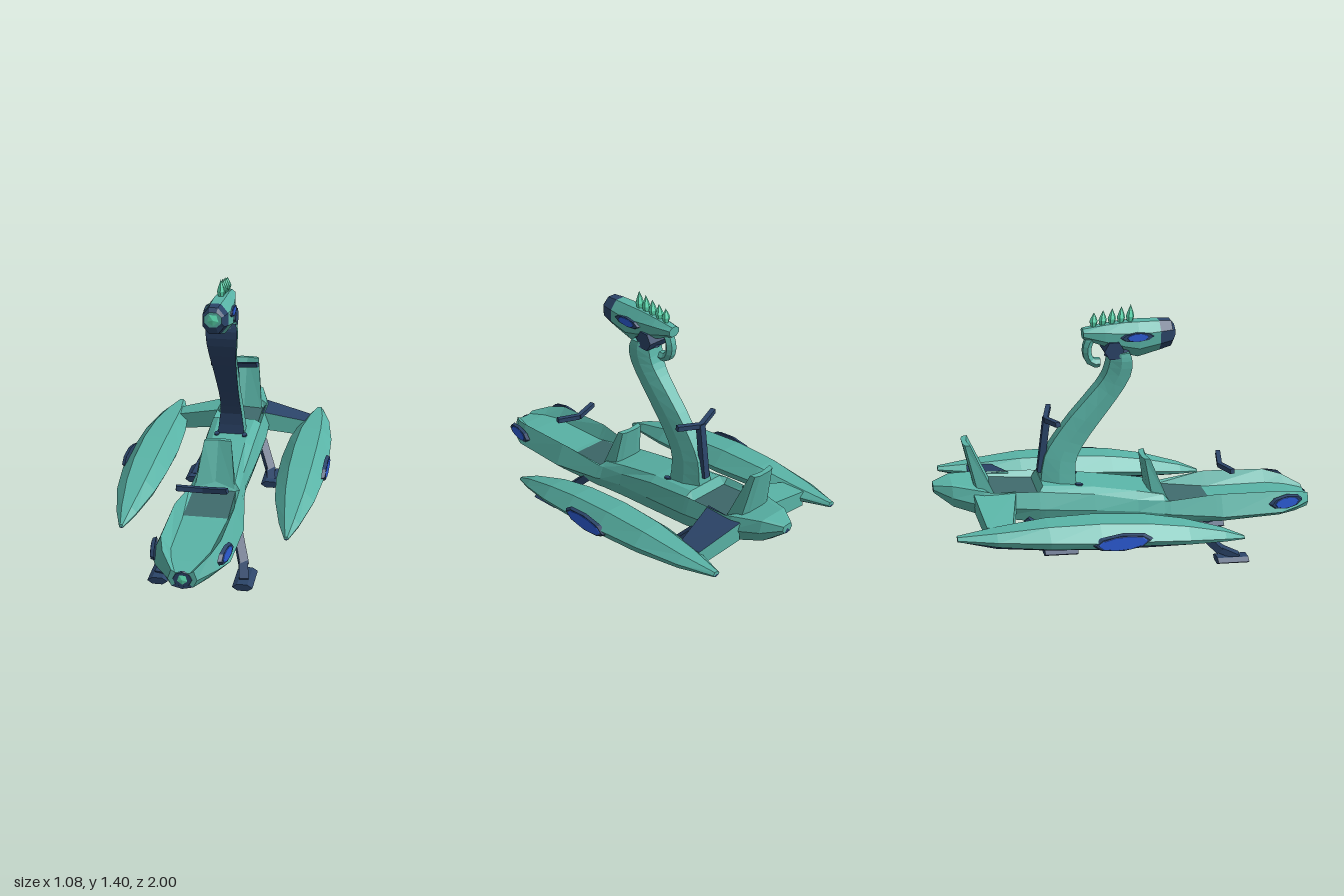
import * as THREE from 'three';

const paint = (name, color) => {
  const m = new THREE.MeshStandardMaterial({ color });
  m.name = name;
  return m;
};

export function createModel() {
  const model = new THREE.Group();
  const teal = paint('teal', 0x59b3a6), navy = paint('navy', 0x2b4468), blue = paint('blue', 0x2c5cd6);
  const mint = paint('mint', 0x5fe4b8), seatGrey = paint('seat grey', 0x3f6a6c);
  const palette = [teal, navy, seatGrey];
  const TEAL = 0, NAVY = 1, SEAT = 2;

  const add = (name, geo, mat, parent = model) => {
    const g = geo.index ? geo.toNonIndexed() : geo;
    if (mat !== palette) g.computeVertexNormals();
    const mesh = new THREE.Mesh(g, mat);
    mesh.name = name;
    parent.add(mesh);
    return mesh;
  };

  // Skins closed rings of points; pick(segment, side) chooses the colour of each face.
  // Each ring runs counter-clockwise seen from the first ring's outer end.
  function loft(rings, pick) {
    const faces = [[], [], []], last = rings.length - 1, n = rings[0].length;
    const tri = (c, ...pts) => pts.forEach(p => faces[c].push(...p));
    const mid = r => [0, 1, 2].map(k => r.reduce((s, p) => s + p[k], 0) / n);
    for (let j = 0; j < n; j++) {
      const k = (j + 1) % n;
      for (let i = 0; i < last; i++) {
        const a = rings[i][j], b = rings[i][k], c = rings[i + 1][k], d = rings[i + 1][j];
        tri(pick(i, j), a, d, c);
        tri(pick(i, j), a, c, b);
      }
      tri(pick(-1, j), mid(rings[0]), rings[0][j], rings[0][k]);
      tri(pick(last, j), mid(rings[last]), rings[last][k], rings[last][j]);
    }
    const geo = new THREE.BufferGeometry();
    geo.setAttribute('position', new THREE.Float32BufferAttribute(faces.flat(), 3));
    let start = 0;
    faces.forEach((f, m) => {
      if (f.length) geo.addGroup(start, f.length / 3, m);
      start += f.length / 3;
    });
    geo.computeVertexNormals();
    return geo;
  }

  // Square bar between two points
  function beam(name, p, q, w, h) {
    const a = new THREE.Vector3(...p), b = new THREE.Vector3(...q);
    const mesh = add(name, new THREE.BoxGeometry(w, h, a.distanceTo(b)), navy);
    mesh.position.copy(a).add(b).multiplyScalar(0.5);
    mesh.lookAt(b);
  }

  // Main hull: z, keel y, chine x/y, side x/y, rim x/y, deck x/y
  const stations = [
    [0.992, 0.188, 0.05, 0.2, 0.068, 0.235, 0.052, 0.28, 0.035, 0.268],
    [0.9, 0.19, 0.105, 0.208, 0.145, 0.25, 0.112, 0.325, 0.07, 0.285],
    [0.8, 0.193, 0.135, 0.211, 0.188, 0.25, 0.142, 0.353, 0.095, 0.293],
    [0.47, 0.205, 0.15, 0.222, 0.195, 0.265, 0.148, 0.378, 0.11, 0.303],
    [0.44, 0.207, 0.148, 0.224, 0.19, 0.27, 0.145, 0.378, 0.112, 0.307],
    [0.2, 0.217, 0.13, 0.235, 0.155, 0.295, 0.128, 0.362, 0.108, 0.353],
    [0.17, 0.22, 0.125, 0.238, 0.148, 0.3, 0.125, 0.365, 0.1, 0.39],
    [0.03, 0.23, 0.115, 0.25, 0.135, 0.325, 0.12, 0.385, 0.095, 0.425],
    [-0.2, 0.27, 0.13, 0.29, 0.155, 0.37, 0.13, 0.45, 0.09, 0.475],
    [-0.46, 0.305, 0.14, 0.33, 0.165, 0.41, 0.135, 0.495, 0.1, 0.515],
    [-0.485, 0.31, 0.14, 0.335, 0.165, 0.415, 0.135, 0.5, 0.11, 0.47],
    [-0.72, 0.355, 0.125, 0.38, 0.155, 0.45, 0.13, 0.52, 0.108, 0.5],
    [-0.76, 0.365, 0.115, 0.39, 0.15, 0.46, 0.125, 0.53, 0.095, 0.53],
    [-0.91, 0.42, 0.07, 0.44, 0.095, 0.495, 0.08, 0.555, 0.06, 0.56],
    [-1, 0.5, 0.02, 0.505, 0.033, 0.525, 0.027, 0.545, 0.015, 0.548],
  ];
  const hullRings = stations.map(([z, keel, ...v]) => {
    const half = [0, 2, 4, 6].map(k => [v[k], v[k + 1], z]);
    return [[0, keel, z], ...half, ...half.map(([x, y]) => [-x, y, z]).reverse()];
  });
  add('hull', loft(hullRings, (i, j) => {
    if (j === 0 || j === 8) return NAVY;
    return j === 4 && (i === 4 || i === 10) ? SEAT : TEAL;
  }), palette);

  // Nose plate and gem
  const nosePlate = add('nosePlate', new THREE.CylinderGeometry(0.044, 0.05, 0.008, 8).rotateX(Math.PI / 2).scale(1, 0.8, 1), navy);
  nosePlate.position.set(0, 0.236, 0.99);
  const gem = add('noseGem', new THREE.ConeGeometry(0.025, 0.006, 5).rotateX(Math.PI / 2), mint);
  gem.position.set(0, 0.235, 0.997);

  // Seat backs, slightly wrapped around the rider
  function seatBack(name, top, bottom) {
    const ring = ([y, w, front, back]) => {
      const half = [[w, y, front + 0.012], [w * 0.9, y, back + 0.01], [w * 0.5, y, back]];
      return [[0, y, front], ...half, ...half.map(([x, , z]) => [-x, y, z]).reverse()];
    };
    add(name, loft([ring(top), ring(bottom)], () => TEAL), palette);
  }
  seatBack('frontSeatBack', [0.585, 0.07, 0.095, 0.07], [0.34, 0.105, 0.19, 0.11]);
  seatBack('rearSeatBack', [0.76, 0.068, -0.822, -0.845], [0.48, 0.105, -0.71, -0.79]);

  // Neck: half width, front y/z, back y/z, from top to base, smoothed along its length
  const neckRings = [
    [0.072, 1.17, 0.0, 1.17, -0.09], [0.08, 1.13, 0.01, 1.13, -0.095], [0.075, 1.05, 0.0, 1.06, -0.115],
    [0.063, 0.93, -0.07, 1.0, -0.155], [0.055, 0.8, -0.165, 0.85, -0.29], [0.052, 0.69, -0.242, 0.74, -0.375],
    [0.058, 0.6, -0.282, 0.64, -0.435], [0.075, 0.47, -0.28, 0.5, -0.46],
  ].map(([w, yf, zf, yb, zb]) => {
    const y = (yf + yb) / 2, z = (zf + zb) / 2;
    return [[w, yf, zf], [w * 0.95, y, z], [w * 0.55, yb, zb], [-w * 0.55, yb, zb], [-w * 0.95, y, z], [-w, yf, zf]];
  });
  const neckLines = neckRings[0].map((_, j) => new THREE.CatmullRomCurve3(neckRings.map(r => new THREE.Vector3(...r[j]))));
  const neck = Array.from({ length: 15 }, (_, i) => neckLines.map(line => line.getPoint(i / 14).toArray()));
  add('neck', loft(neck, (i, j) => (j === 5 && i >= 0 ? NAVY : TEAL)), palette);
  const joint = add('neckJoint', new THREE.CylinderGeometry(0.05, 0.05, 0.13, 6).rotateZ(Math.PI / 2), navy);
  joint.position.set(0, 1.185, -0.078);
  const collar = add('collar', new THREE.CylinderGeometry(0.06, 0.072, 0.04, 8), navy);
  collar.position.set(0, 1.165, -0.045);

  // Head: z, half width, top y, bottom y
  const head = [
    [0.238, 0.042, 1.285, 1.212], [0.222, 0.054, 1.306, 1.175], [0.16, 0.062, 1.311, 1.16], [0.05, 0.068, 1.315, 1.135],
    [-0.02, 0.06, 1.315, 1.155], [-0.12, 0.05, 1.308, 1.2], [-0.225, 0.032, 1.295, 1.245],
  ].map(([z, w, top, bottom]) => Array.from({ length: 8 }, (_, k) => {
    const a = (k + 0.5) * Math.PI / 4, f = 1 / Math.cos(Math.PI / 8);
    return [Math.cos(a) * w * f, (top + bottom) / 2 + Math.sin(a) * (top - bottom) / 2 * f, z];
  }));
  add('head', loft(head, i => (i === 0 || i === 1 ? NAVY : TEAL)), palette);
  const snoutGem = add('snoutGem', new THREE.ConeGeometry(0.03, 0.008, 5).rotateX(Math.PI / 2), mint);
  snoutGem.position.set(0, 1.248, 0.242);

  // Crest spikes
  const leaf = [[0, 0], [0.013, 0.005], [0.021, 0.038], [0.014, 0.062], [0, 0.098]].map(p => new THREE.Vector2(...p));
  for (let i = 0; i < 5; i++) {
    const spike = add('crestSpike', new THREE.LatheGeometry(leaf, 6).scale(1, 1 - i * 0.06, 1), mint);
    spike.position.set(0, 1.302 - i * 0.001, 0.015 - i * 0.046);
    spike.rotation.x = 0.06;
  }

  // Curl at the back of the head
  const curl = new THREE.CatmullRomCurve3([[1.265, -0.13], [1.25, -0.175], [1.21, -0.2], [1.155, -0.202], [1.117, -0.178], [1.112, -0.14]]
    .map(([y, z]) => new THREE.Vector3(0, y, z)));
  add('headCurl', new THREE.TubeGeometry(curl, 9, 0.025, 6).scale(1.2, 1, 1), teal);

  // Pontoon: z, half width, keel y, chine y, side y, top y
  const pontoon = [
    [0.51, 0.012, 0.245, 0.25, 0.256, 0.264], [0.4, 0.052, 0.25, 0.268, 0.285, 0.315], [0.2, 0.1, 0.255, 0.3, 0.328, 0.38],
    [0, 0.121, 0.265, 0.33, 0.36, 0.425], [-0.25, 0.126, 0.285, 0.345, 0.385, 0.457],
    [-0.5, 0.113, 0.315, 0.37, 0.41, 0.468], [-0.75, 0.075, 0.358, 0.4, 0.427, 0.458], [-0.935, 0.02, 0.42, 0.427, 0.435, 0.448],
  ];

  // Oval lamp on a side: dark rim with a bright lens
  function lamp(name, s, [x, y, z], ry, rz, lens, yaw) {
    const g = new THREE.Group();
    g.name = name;
    g.position.set(s * x, y, z);
    g.rotation.y = s * yaw;
    model.add(g);
    const disc = (depth, h, w, sides) => new THREE.CylinderGeometry(0.88, 1, depth, sides).rotateZ(-s * Math.PI / 2).scale(1, h, w);
    add('lampRim', disc(0.018, ry, rz, 8), navy, g);
    add('lampLens', disc(0.006, ry * 0.84, rz * lens, 10), blue, g).position.x = s * 0.008;
  }

  for (const s of [1, -1]) {
    const side = s > 0 ? 'left' : 'right';

    add(side + 'Pontoon', loft(pontoon.map(([z, w, keel, chine, mid, top]) => {
      const half = [[0.86 * w, chine], [w, mid], [0.47 * w, top]];
      return [[0, keel], ...half, ...half.map(([x, y]) => [-x, y]).reverse()].map(([x, y]) => [x + s * 0.408, y, z]);
    }), (i, j) => (j === 0 || j === 6 ? NAVY : TEAL)), palette);
    lamp(side + 'PontoonLamp', s, [0.528, 0.375, -0.152], 0.047, 0.155, 0.86, 0);
    lamp(side + 'NoseLamp', s, [0.17, 0.3, 0.825], 0.04, 0.1, 0.76, -0.14);

    // Wing strut between hull and pontoon, dark on top at the left and underneath at the right
    const wingRing = (z, inner, outer) => {
      const pts = [[0.12, inner - 0.1], [0.37, outer - 0.085], [0.37, outer], [0.12, inner]];
      return (s > 0 ? pts : pts.reverse()).map(([x, y]) => [s * x, y, z(x)]);
    };
    const wing = [wingRing(x => (x < 0.2 ? -0.6 : -0.66), 0.51, 0.45), wingRing(x => (x < 0.2 ? -0.81 : -0.785), 0.515, 0.455)];
    add(side + 'Wing', loft(wing, (i, j) => (i === 0 && j === 2 ? NAVY : TEAL)), palette);

    // Landing legs with hexagonal feet
    const foot = (name, y, z) => {
      const f = add(name, new THREE.CylinderGeometry(1, 1, 1, 6).rotateY(Math.PI / 6).rotateX(Math.PI / 2).scale(0.05, 0.02, 0.17), navy);
      f.position.set(s * 0.21, y, z);
      f.rotation.x = 0.08;
    };
    beam(side + 'FrontLeg', [s * 0.12, 0.25, 0.29], [s * 0.195, 0.075, 0.46], 0.045, 0.04);
    beam(side + 'FrontAnkle', [s * 0.19, 0.085, 0.45], [s * 0.21, 0.035, 0.55], 0.045, 0.035);
    foot(side + 'FrontFoot', 0.027, 0.515);
    beam(side + 'RearLeg', [s * 0.13, 0.36, -0.55], [s * 0.2, 0.225, -0.43], 0.045, 0.04);
    beam(side + 'RearAnkle', [s * 0.195, 0.235, -0.44], [s * 0.21, 0.2, -0.36], 0.045, 0.035);
    foot(side + 'RearFoot', 0.2, -0.4);

    // Handlebars
    beam(side + 'FrontHandlebar', [0, 0.476, 0.505], [s * 0.125, 0.49, 0.535], 0.025, 0.025);
    beam(side + 'RearHandlebar', [0, 0.832, -0.42], [s * 0.125, 0.85, -0.38], 0.025, 0.025);

    // Deck pegs beside the neck, and eyes
    const peg = add(side + 'DeckPeg', new THREE.CylinderGeometry(0.014, 0.014, 0.012, 8).scale(1, 1, 1.5), navy);
    peg.position.set(s * 0.075, 0.487, -0.27);
    peg.rotation.x = 0.15;
    lamp(side + 'Eye', s, [0.062, 1.248, 0.04], 0.026, 0.09, 0.66, 0);
  }
  beam('rearHandlebarPost', [0, 0.55, -0.455], [0, 0.84, -0.415], 0.034, 0.034);

  return model;
}
